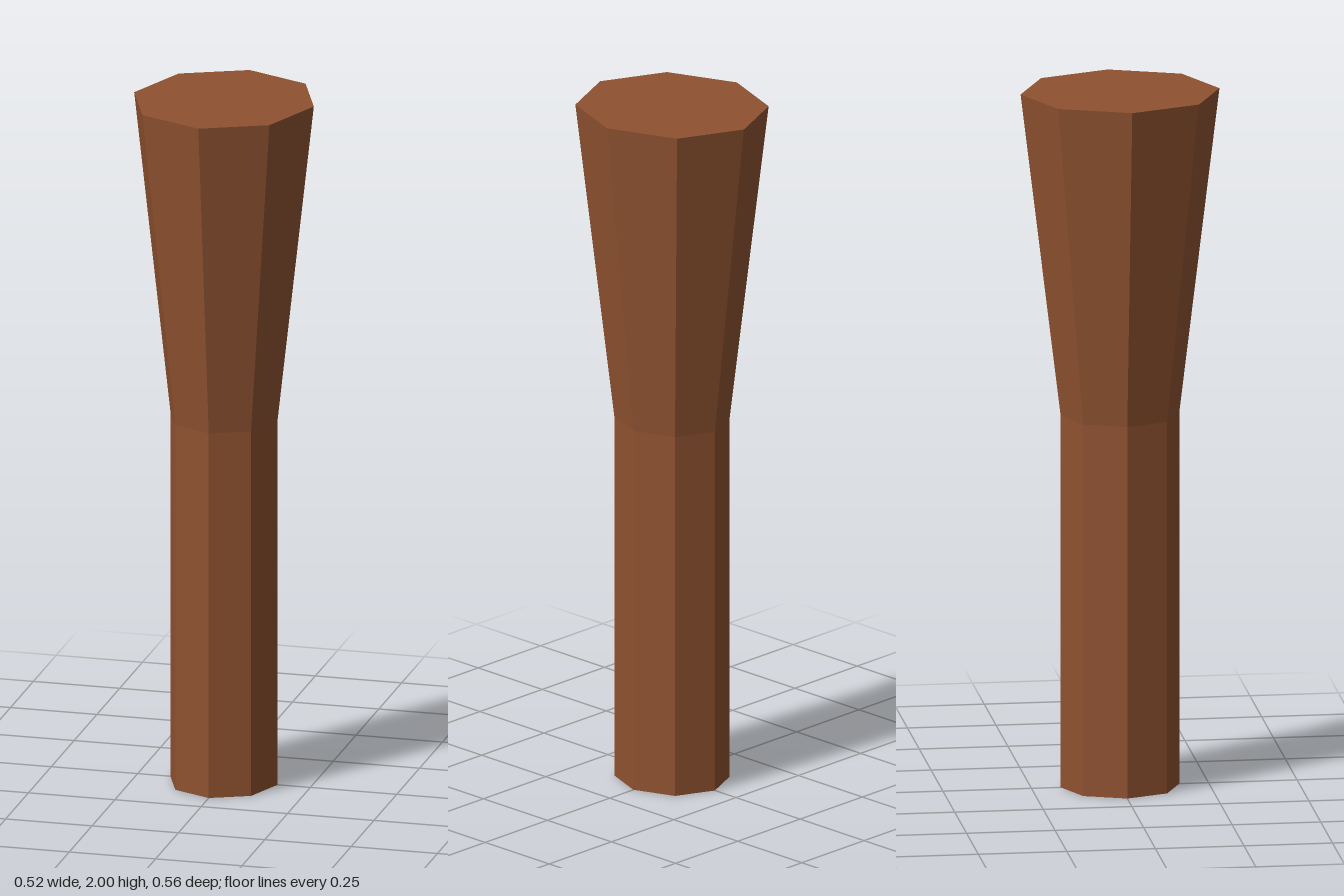
import * as THREE from 'three';

const HEIGHT = 2, NECK_Y = 1.07, TOP_R = 0.26, SHAFT_R = 0.155, DEPTH = 1.08;

export function createModel() {
  const group = new THREE.Group();
  group.name = 'flaredPost';

  // Eight-sided capped post; its middle ring becomes the neck where the flare starts
  const geometry = new THREE.CylinderGeometry(TOP_R, SHAFT_R, HEIGHT, 8, 2);
  geometry.translate(0, HEIGHT / 2, 0);
  const pos = geometry.attributes.position;
  for (let i = 0; i < pos.count; i++) {
    if (Math.abs(pos.getY(i) - HEIGHT / 2) > 0.01) continue;
    const k = SHAFT_R / Math.hypot(pos.getX(i), pos.getZ(i));
    pos.setXYZ(i, pos.getX(i) * k, NECK_Y, pos.getZ(i) * k);
  }

  // Slightly deeper than wide, with faceted sides
  geometry.scale(1, 1, DEPTH);
  const faceted = geometry.toNonIndexed();
  faceted.computeVertexNormals();

  const material = new THREE.MeshStandardMaterial({ color: 0x8f5230, flatShading: true });
  const post = new THREE.Mesh(faceted, material);
  post.name = 'post';
  group.add(post);
  return group;
}
